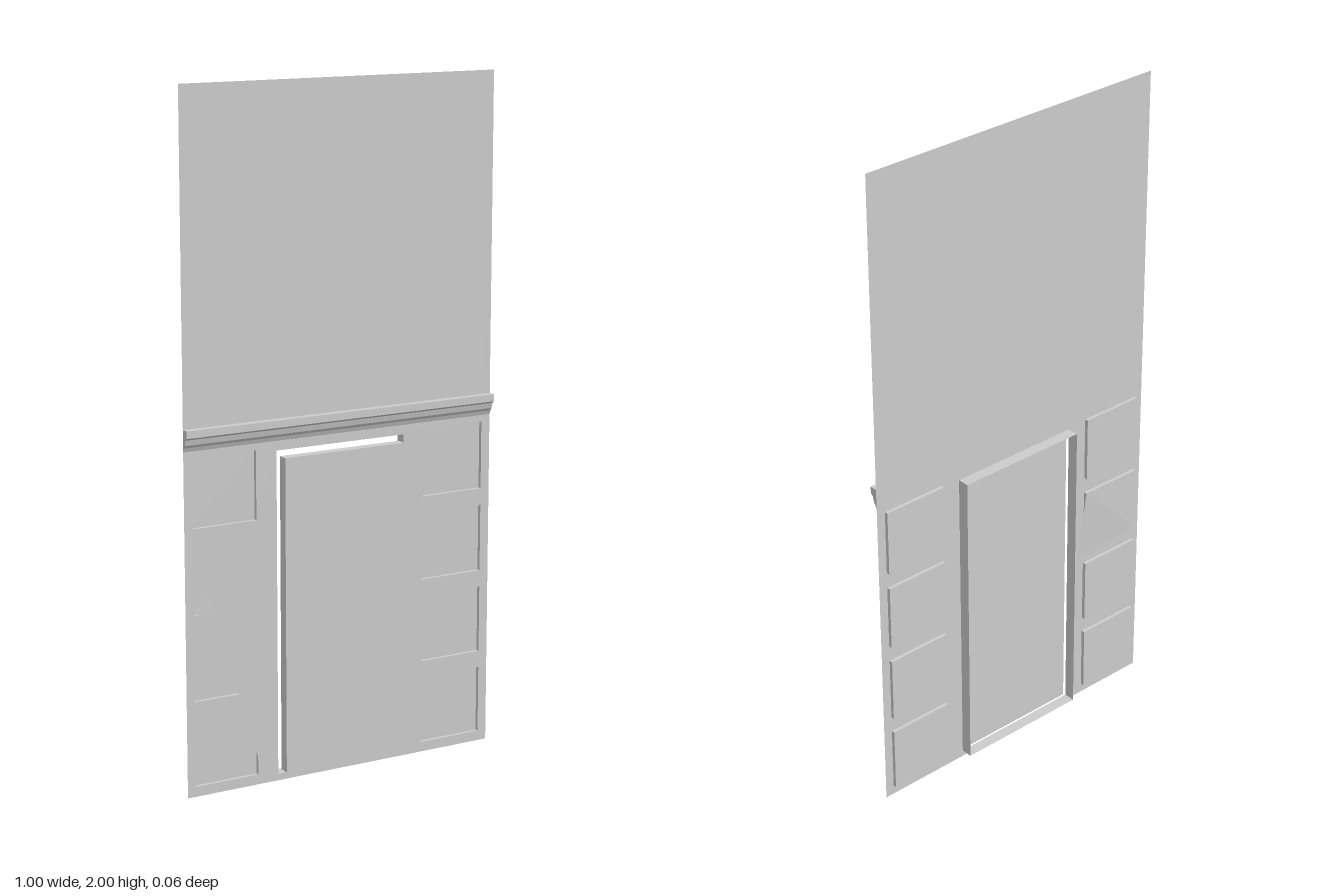
import * as THREE from 'three';

const WALL_Z = 0.004, PANEL_Z = -0.007, FRAME_Z = -0.031;
const material = new THREE.MeshStandardMaterial({ color: 0xcccccc, flatShading: true, side: THREE.DoubleSide });

const rect = (x0, y0, x1, y1) => [[x0, y0], [x1, y0], [x1, y1], [x0, y1]];
const toVectors = (pts) => pts.map(([x, y]) => new THREE.Vector2(x, y));

function addMesh(group, name, geometry) {
  const mesh = new THREE.Mesh(geometry, material);
  mesh.name = name;
  group.add(mesh);
  return mesh;
}

// Four side walls running back from the wall plane, optionally closed by a floor
function recess(front, back, closed) {
  const positions = [...front.map(([x, y]) => [x, y, WALL_Z]), ...back].flat();
  const index = [];
  for (let i = 0; i < 4; i++) {
    const j = (i + 1) % 4;
    index.push(i, j, 4 + j, i, 4 + j, 4 + i);
  }
  if (closed) index.push(4, 5, 6, 4, 6, 7);
  const geometry = new THREE.BufferGeometry();
  geometry.setAttribute('position', new THREE.Float32BufferAttribute(positions, 3));
  geometry.setIndex(index);
  const flat = geometry.toNonIndexed();
  flat.computeVertexNormals();
  return flat;
}

export function createModel() {
  const model = new THREE.Group();
  model.name = 'wallWithDoor';

  const doorway = rect(-0.21, 0.02, 0.206, 0.972);
  const rows = [0.03, 0.28, 0.53, 0.78];

  // Openings in the right-hand column are partly covered along a diagonal
  const cutOpenings = [
    [[-0.475, 0.03], [-0.275, 0.03], [-0.275, 0.08], [-0.317, 0.23], [-0.475, 0.23]],
    [[-0.475, 0.28], [-0.335, 0.28], [-0.395, 0.48], [-0.475, 0.48]],
    [[-0.475, 0.53], [-0.413, 0.53], [-0.472, 0.72], [-0.475, 0.725]],
    rect(-0.475, 0.78, -0.275, 0.98),
  ];
  const openings = [doorway, ...cutOpenings, ...rows.map((y) => rect(0.27, y, 0.472, y + 0.2))];

  // Thin wall sheet
  const wall = new THREE.Shape(toVectors(rect(-0.5, 0, 0.5, 2)));
  openings.forEach((pts) => wall.holes.push(new THREE.Path(toVectors(pts))));
  addMesh(model, 'wall', new THREE.ShapeGeometry(wall).translate(0, 0, WALL_Z));

  // Shallow square panels sunk into the wall on both sides of the door
  rows.forEach((y, row) => {
    [[-0.475, -0.275, 'right'], [0.27, 0.472, 'left']].forEach(([x0, x1, side]) => {
      const front = rect(x0, y, x1, y + 0.2);
      const back = front.map(([x, py]) => [x, py, PANEL_Z]);
      // One panel has a corner pulled up to the wall surface
      if (side === 'right' && row === 2) back[1] = [-0.25, 0.505, WALL_Z - 0.001];
      addMesh(model, `${side}Panel${row + 1}`, recess(front, back, true));
    });
  });

  // Open door frame behind the wall
  addMesh(model, 'doorFrame', recess(doorway, doorway.map(([x, y]) => [x, y, FRAME_Z]), false));

  // Door slab standing proud of the wall
  const door = addMesh(model, 'door', new THREE.BoxGeometry(0.388, 0.924, 0.031));
  door.position.set(-0.003, 0.492, 0.0155);

  // Moulded cornice above the door, profile given as (z, y)
  const profile = [[WALL_Z, 1], [0.009, 1.012], [0.015, 1.02], [0.019, 1.036], [0.027, 1.042], [0.027, 1.063], [WALL_Z, 1.063]];
  const cornice = new THREE.ExtrudeGeometry(new THREE.Shape(toVectors(profile)), { depth: 1, bevelEnabled: false });
  addMesh(model, 'cornice', cornice.rotateY(-Math.PI / 2).translate(0.5, 0, 0));

  return model;
}
